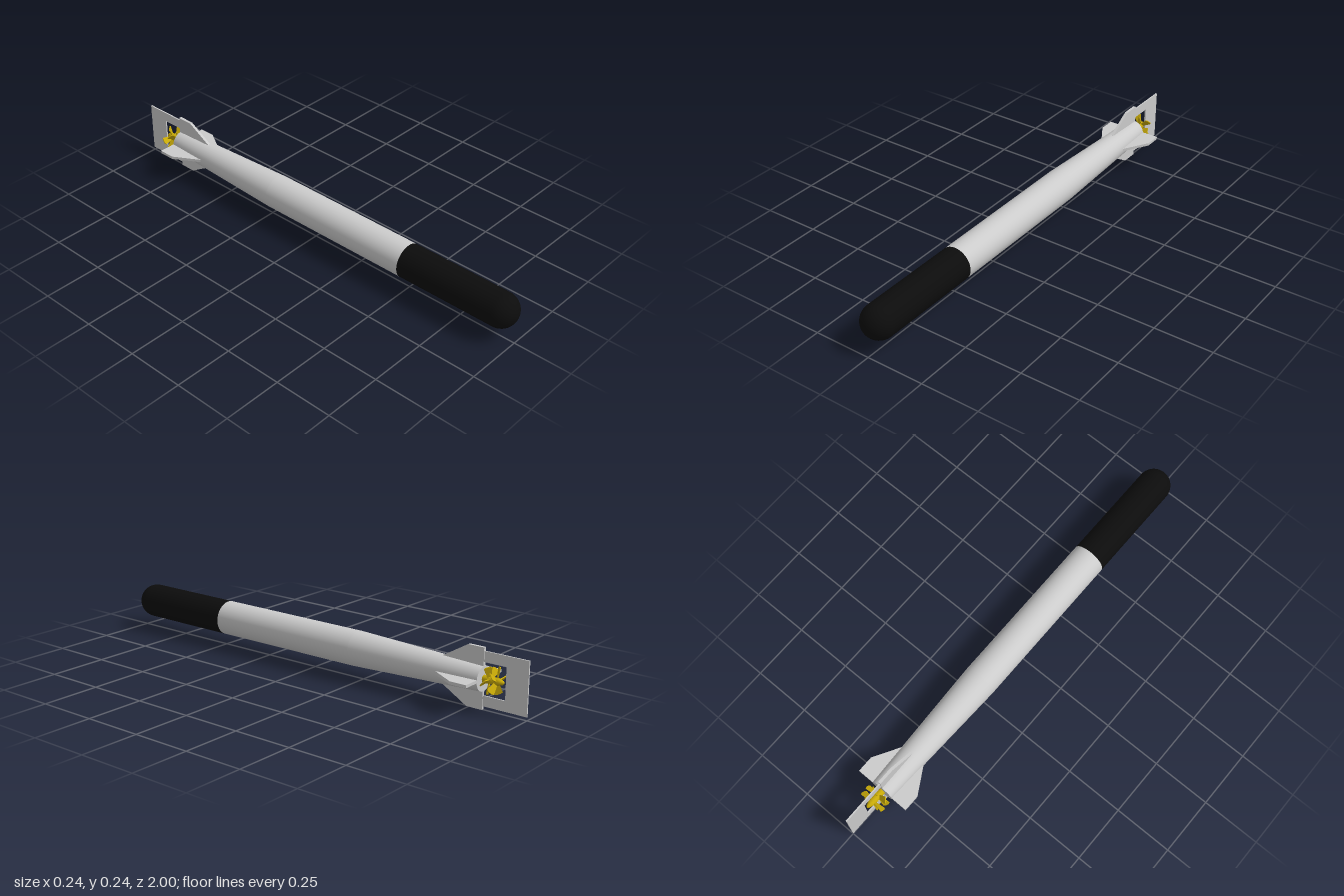
import * as THREE from 'three';

const AXIS_Y = 0.122, R = 0.072, TAIL_R = 0.05, TAIL_Z = -0.81;
const grey = new THREE.MeshStandardMaterial({ color: 0xcccccc });
const black = new THREE.MeshStandardMaterial({ color: 0x0c0c0c });
const gold = new THREE.MeshStandardMaterial({ color: 0xc9ab08 });
const goldFlat = new THREE.MeshStandardMaterial({ color: 0xc9ab08, flatShading: true });

function add(parent, name, geometry, material) {
  const mesh = new THREE.Mesh(geometry, material);
  mesh.name = name;
  parent.add(mesh);
  return mesh;
}

// Solid of revolution about z; points are [radius, z] with z rising
function turned(points, segments = 48) {
  return new THREE.LatheGeometry(points.map(([r, z]) => new THREE.Vector2(r, z)), segments)
    .rotateX(Math.PI / 2);
}

// Plate in the plane of radius (x) and length (z), centred on its thickness
function plate(points, thickness, hole) {
  const toShape = (p) => p.map(([x, z]) => new THREE.Vector2(x, -z));
  const shape = new THREE.Shape(toShape(points));
  if (hole) shape.holes.push(new THREE.Path(toShape(hole)));
  return new THREE.ExtrudeGeometry(shape, { depth: thickness, bevelEnabled: false })
    .translate(0, 0, -thickness / 2)
    .rotateX(-Math.PI / 2);
}

// Five pitched blades that widen towards the tip
function propeller(name, z, side) {
  const group = new THREE.Group();
  group.name = name;
  group.position.z = z;
  const outline = [[0.008, -0.007], [0.052, -0.016], [0.056, -0.008],
    [0.056, 0.008], [0.052, 0.016], [0.008, 0.007]];
  for (let i = 0; i < 5; i++) {
    const arm = new THREE.Group();
    arm.rotation.z = (side > 0 ? 0 : Math.PI) + (i * Math.PI * 2) / 5;
    const blade = add(arm, 'propellerBlade', plate(outline, 0.004), goldFlat);
    blade.rotation.x = side * 0.87;
    group.add(arm);
  }
  return group;
}

export function createModel() {
  const model = new THREE.Group();
  model.name = 'torpedo';
  const body = new THREE.Group();
  body.name = 'body';
  body.position.y = AXIS_Y;
  model.add(body);

  // Black warhead with a rounded nose
  const nose = [[R, 0.485]];
  for (let i = 0; i <= 14; i++) {
    const a = (i / 14) * Math.PI / 2;
    nose.push([i === 14 ? 0 : R * Math.cos(a), 1 - R + R * Math.sin(a)]);
  }
  add(body, 'warhead', turned(nose), black);

  // Straight hull, tapered tail and its flat end
  add(body, 'hull', turned([[R, -0.22], [R, 0.485]]), grey);
  add(body, 'tailCone', turned([[TAIL_R, TAIL_Z], [R, -0.22]]), grey);
  add(body, 'tailCap', turned([[0, TAIL_Z], [TAIL_R, TAIL_Z]]), grey);

  // Four tail fins
  const fin = plate([[0.03, -0.63], [0.057, -0.63], [0.122, -0.74],
    [0.122, TAIL_Z], [0.03, TAIL_Z]], 0.012);
  for (let i = 0; i < 4; i++) add(body, 'tailFin', fin, grey).rotation.z = i * Math.PI / 2;

  // Upright rudder frame around the propellers
  const frame = plate(
    [[-0.108, -0.80], [0.108, -0.80], [0.108, -1], [-0.108, -1]], 0.006,
    [[-0.066, -0.806], [0.066, -0.806], [0.066, -0.906], [-0.066, -0.906]]);
  add(body, 'rudderFrame', frame, grey).rotation.z = Math.PI / 2;

  // Propeller shaft, hub and the contra-rotating pair
  add(body, 'propellerHub', turned([[0, -0.9], [0.008, -0.893], [0.015, -0.872],
    [0.015, TAIL_Z]], 20), gold);
  body.add(propeller('frontPropeller', -0.836, 1), propeller('rearPropeller', -0.866, -1));

  return model;
}
